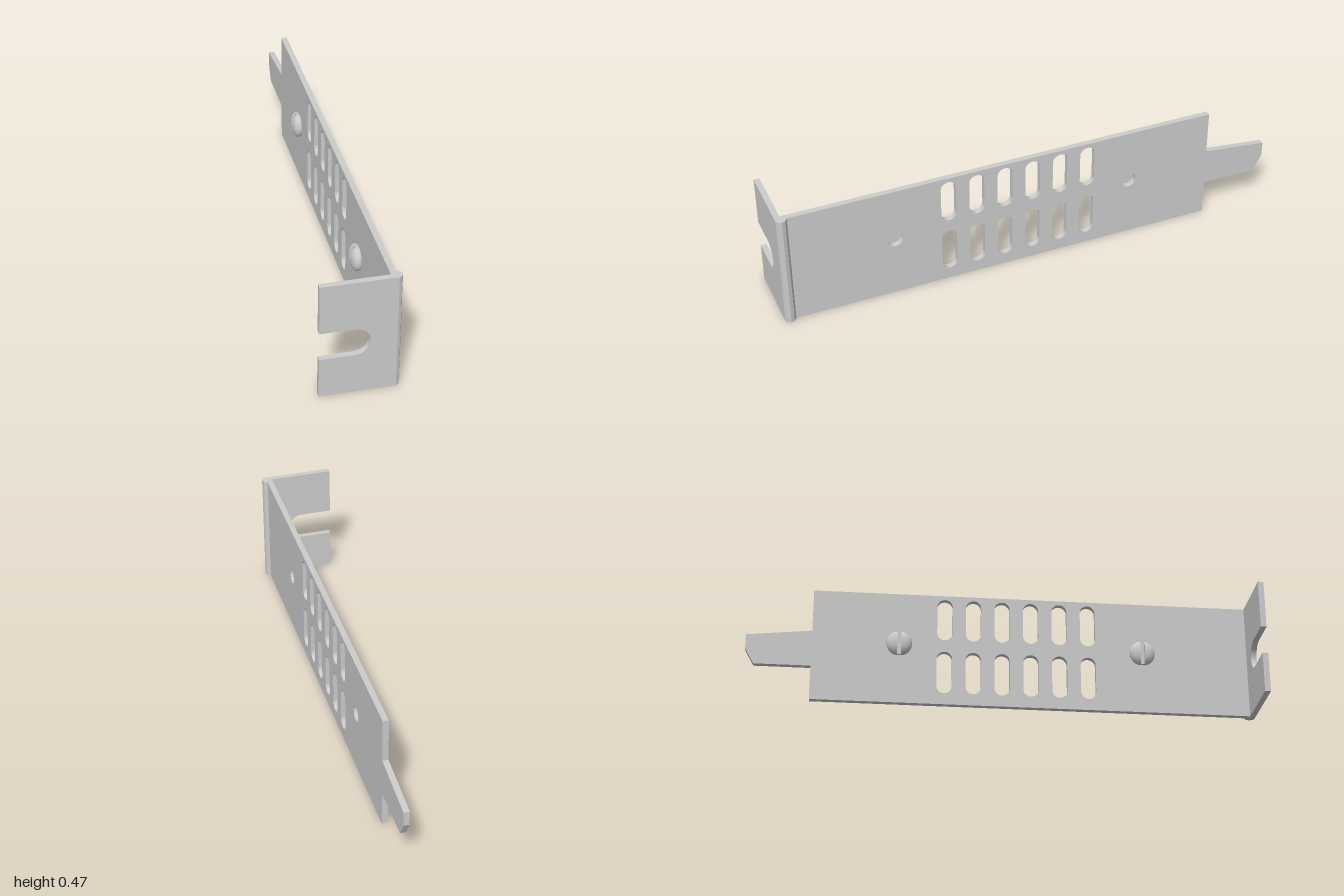
import * as THREE from 'three';

const H = 0.465, T = 0.0225;          // plate height and sheet thickness
const X0 = 0.105;                     // inner face of the long plate
const BEND_Z = 0.957;                 // where the plate meets the bend
const SCREWS = [0.555, -0.405], SCREW_Y = 0.247;

const material = new THREE.MeshStandardMaterial({ color: 0xcccccc, side: THREE.DoubleSide });

const polygon = (pts) => new THREE.Shape(pts.map(([x, y]) => new THREE.Vector2(x, y)));

function extrude(shape, depth, name) {
  const geometry = new THREE.ExtrudeGeometry(shape, { depth, bevelEnabled: false, curveSegments: 12 });
  const mesh = new THREE.Mesh(geometry, material);
  mesh.name = name;
  return mesh;
}

// Upright slot with round ends
function slotPath(cx, y0, y1, r) {
  const p = new THREE.Path();
  p.absarc(cx, y1 - r, r, 0, Math.PI, false);
  p.absarc(cx, y0 + r, r, Math.PI, 2 * Math.PI, false);
  p.closePath();
  return p;
}

// Long plate with tongue, vents and screw holes, drawn in (-z, y)
function makePlate() {
  const shape = polygon([
    [-BEND_Z, 0], [0.745, 0], [0.745, 0.14], [0.965, 0.14], [1, 0.203],
    [1, 0.262], [0.745, 0.29], [0.745, H], [-BEND_Z, H],
  ]);
  for (let i = 0; i < 6; i++) {
    const u = -0.34 + i * 0.1134;
    shape.holes.push(slotPath(u, 0.047, 0.223, 0.03), slotPath(u, 0.273, 0.448, 0.03));
  }
  for (const z of SCREWS) shape.holes.push(new THREE.Path().absarc(-z, SCREW_Y, 0.031, 0, Math.PI * 2));
  const plate = extrude(shape, T, 'plate');
  plate.geometry.rotateY(Math.PI / 2);
  plate.position.x = X0;
  return plate;
}

// Mounting flange with an open U notch
function makeFlange() {
  const left = -0.147, r = 0.0555, cy = 0.2155;
  const shape = new THREE.Shape();
  shape.moveTo(left, 0);
  shape.lineTo(X0, 0);
  shape.lineTo(X0, H);
  shape.lineTo(left, H);
  shape.lineTo(left, cy + r);
  shape.absarc(-0.021, cy, r, Math.PI / 2, -Math.PI / 2, true);
  shape.lineTo(left, cy - r);
  const flange = extrude(shape, T, 'mountingFlange');
  flange.position.z = 1 - T;
  return flange;
}

// Swollen outer corner joining flange and plate, drawn in (x, -z)
function makeBend() {
  const bend = extrude(polygon([
    [X0, -1], [0.13, -1], [0.141, -0.994], [0.146, -0.981],
    [0.141, -0.967], [X0 + T, -BEND_Z], [X0, -BEND_Z],
  ]), H, 'cornerBend');
  bend.geometry.rotateX(-Math.PI / 2);
  return bend;
}

// Domed screw head: two half domes either side of a driver slot
function makeScrew(z) {
  const R = 0.05, gap = 0.008, floor = 0.014;
  const profile = [[0.046, 0], [R, 0.008], [0.047, 0.016], [0.039, 0.024], [0.026, 0.03], [0.013, 0.032], [0, 0.033]];
  const points = profile.map(([r, h]) => new THREE.Vector2(r, h));
  const dome = new THREE.LatheGeometry(points, 14, -Math.PI / 2, Math.PI);
  const wall = new THREE.ShapeGeometry(polygon([...profile, ...profile.slice(0, -1).reverse().map(([r, h]) => [-r, h])]));
  const screw = new THREE.Group();
  screw.name = 'screw';
  for (const side of [0, 1]) {
    const half = new THREE.Group();
    half.name = 'screwHeadHalf';
    for (const g of [dome, wall]) {
      const m = new THREE.Mesh(g, material);
      m.name = g === dome ? 'domeHalf' : 'slotWall';
      m.position.z = gap;
      m.scale.z = (R - gap) / R;
      half.add(m);
    }
    half.rotation.y = side * Math.PI;
    screw.add(half);
  }
  const base = new THREE.Mesh(new THREE.CylinderGeometry(0.048, 0.046, floor, 28), material);
  base.name = 'screwSlotFloor';
  base.position.y = floor / 2;
  screw.add(base);
  screw.rotation.z = Math.PI / 2;
  screw.position.set(X0, SCREW_Y, z);
  return screw;
}

export function createModel() {
  const model = new THREE.Group();
  model.name = 'slotBracket';
  model.add(makePlate(), makeFlange(), makeBend(), ...SCREWS.map(makeScrew));
  return model;
}
